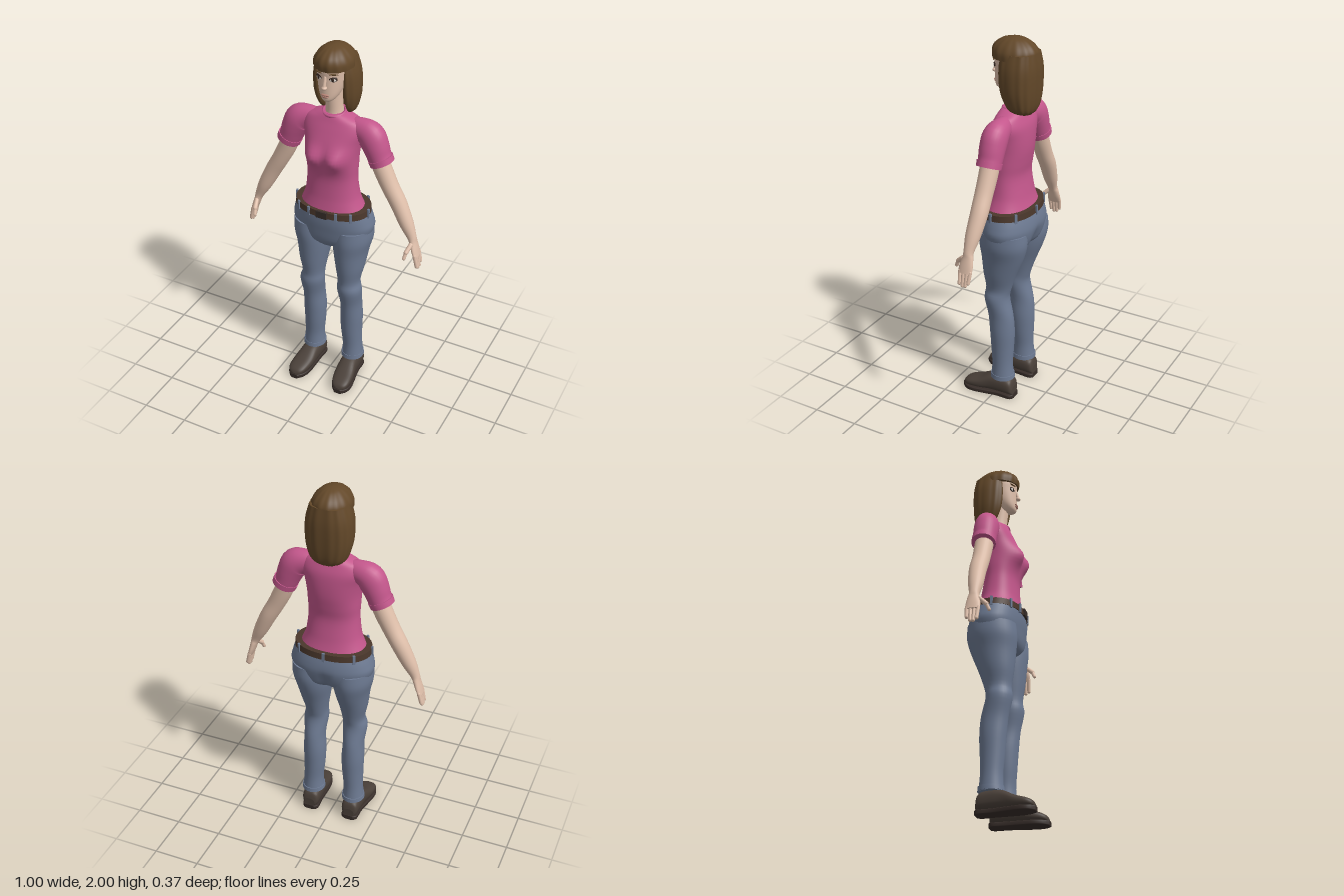
import * as THREE from 'three';

const mat = (name, color) => Object.assign(new THREE.MeshStandardMaterial({ color }), { name });
const M = {
  skin: mat('skin', 0xe0c0ab), shirt: mat('pink shirt', 0xc4578c), jeans: mat('blue denim', 0x6d7a92),
  hair: mat('brown hair', 0x634829), shoe: mat('dark shoe', 0x4a4039), sole: mat('sole', 0x372d29),
  belt: mat('belt leather', 0x4b382c), white: mat('eye white', 0xe6ded6), dark: mat('iris', 0x33241d),
  lips: mat('lips', 0xb98577),
};

// Point on a rounded cross-section: half width, front z, back z, angle, squareness
function ringPoint(half, zf, zb, a, p) {
  const f = (t) => Math.sign(t) * Math.abs(t) ** (2 / p);
  return [half * f(Math.cos(a)), (zf + zb) / 2 + ((zf - zb) / 2) * f(Math.sin(a))];
}

// Smoothly interpolates the stations [x, y, half width, front z, back z]
function smooth(st, sub) {
  const out = [], at = (i) => st[Math.min(Math.max(i, 0), st.length - 1)];
  for (let i = 0; i < st.length - 1; i++)
    for (let k = 0; k < sub; k++) {
      const t = k / sub;
      out.push(st[i].map((b, c) => {
        const a = at(i - 1)[c], d = at(i + 1)[c], e = at(i + 2)[c];
        return b + 0.5 * t * (d - a + t * (2 * a - 5 * b + 4 * d - e + t * (3 * (b - d) + e - a)));
      }));
    }
  out.push(st[st.length - 1]);
  return out;
}

// Skin over stations listed upwards; tilt turns the rings square to the path
function loft(st, { n = 32, p = 2, tilt = false, sub = 4, warp } = {}) {
  const s = smooth(st, sub), pos = [], idx = [];
  s.forEach(([cx, cy, half, zf, zb], i) => {
    const a = s[Math.max(i - 1, 0)], b = s[Math.min(i + 1, s.length - 1)];
    const tx = tilt ? b[0] - a[0] : 0, ty = tilt ? b[1] - a[1] : 1, l = Math.hypot(tx, ty);
    for (let j = 0; j < n; j++) {
      const ang = (j / n) * Math.PI * 2, [u, z] = ringPoint(half, zf, zb, ang, p);
      const v = new THREE.Vector3(cx + (u * ty) / l, cy - (u * tx) / l, z);
      if (warp) warp(v, ang);
      pos.push(v.x, v.y, v.z);
    }
  });
  for (let i = 0; i < s.length - 1; i++)
    for (let j = 0; j < n; j++) {
      const a = i * n + j, b = i * n + ((j + 1) % n);
      idx.push(a, a + n, b, b, a + n, b + n);
    }
  // end caps with their own vertices keep the rims crisp
  [0, s.length - 1].forEach((row, top) => {
    const base = pos.length / 3, c = [0, 0, 0];
    for (let j = 0; j < n; j++)
      for (let k = 0; k < 3; k++) {
        const v = pos[(row * n + j) * 3 + k];
        pos.push(v);
        c[k] += v / n;
      }
    pos.push(...c);
    for (let j = 0; j < n; j++) {
      const a = base + j, b = base + ((j + 1) % n);
      idx.push(base + n, ...(top ? [b, a] : [a, b]));
    }
  });
  const g = new THREE.BufferGeometry();
  g.setAttribute('position', new THREE.Float32BufferAttribute(pos, 3));
  g.setIndex(idx);
  g.computeVertexNormals();
  return g;
}

function blob(x, y, z, sx, sy, sz, turn = 0) {
  return new THREE.SphereGeometry(1, 16, 12).scale(sx, sy, sz).rotateY(turn).translate(x, y, z);
}

function finger(a, b, r) {
  const A = new THREE.Vector3(...a), B = new THREE.Vector3(...b), d = B.clone().sub(A);
  const q = new THREE.Quaternion().setFromUnitVectors(new THREE.Vector3(0, 1, 0), d.clone().normalize());
  return new THREE.CapsuleGeometry(r, d.length(), 4, 10).applyQuaternion(q).translate(...A.add(B).multiplyScalar(0.5).toArray());
}

function mirrored(g) {
  const m = g.clone().scale(-1, 1, 1), ix = m.index.array;
  for (let i = 0; i < ix.length; i += 3) [ix[i], ix[i + 1]] = [ix[i + 1], ix[i]];
  m.computeVertexNormals();
  return m;
}

export function createModel() {
  const model = new THREE.Group();
  model.name = 'standingWoman';
  const add = (name, g, m) => {
    const mesh = new THREE.Mesh(g, m);
    mesh.name = name;
    model.add(mesh);
  };
  const pair = (name, g, m) => { add(name + 'Left', g, m); add(name + 'Right', mirrored(g), m); };

  // Shirt, with the bust raised on the front
  add('shirt', loft([
    [0, 1.1, .18, .085, -.155], [0, 1.15, .158, .075, -.14], [0, 1.2, .144, .068, -.13], [0, 1.29, .135, .063, -.118],
    [0, 1.36, .137, .073, -.128], [0, 1.43, .14, .082, -.138], [0, 1.5, .15, .068, -.14], [0, 1.56, .165, .045, -.135],
    [0, 1.605, .15, .025, -.12], [0, 1.63, .1, .015, -.11], [0, 1.645, .058, .008, -.1],
  ], {
    n: 56, p: 2.2, warp: (v, a) => {
      const side = (Math.abs(v.x) - .065) / .052, up = (v.y - 1.425) / .055;
      if (Math.sin(a) > 0) v.z += .036 * Math.exp(-side * side - up * up) * Math.min(1, Math.sin(a) * 2);
    },
  }), M.shirt);
  add('collar', new THREE.TorusGeometry(.056, .008, 8, 32).rotateX(Math.PI / 2 + .12).translate(0, 1.642, -.045), M.shirt);
  pair('sleeve', loft([
    [.262, 1.415, .06, .01, -.11], [.245, 1.45, .062, .012, -.112], [.225, 1.5, .069, .015, -.115],
    [.195, 1.55, .074, .013, -.115], [.14, 1.57, .06, 0, -.105], [.08, 1.57, .05, -.01, -.09],
  ], { tilt: true }), M.shirt);
  pair('sleeveCuff', loft([[.264, 1.41, .064, .014, -.114], [.252, 1.438, .065, .015, -.115]], { tilt: true, sub: 1 }), M.shirt);

  // Arms and hands
  pair('arm', loft([
    [.48, .925, .012, .001, -.075], [.468, .96, .016, 0, -.075], [.455, 1, .019, -.01, -.07], [.444, 1.03, .025, -.013, -.066],
    [.41, 1.1, .037, -.005, -.082], [.36, 1.2, .043, -.005, -.095], [.315, 1.28, .045, -.003, -.095],
    [.275, 1.36, .048, -.002, -.098], [.24, 1.44, .048, 0, -.1],
  ], { tilt: true, n: 24 }), M.skin);
  [.87, .86, .862, .88].forEach((tip, i) => {
    const z = -.008 - i * .0195;
    pair('finger' + (i + 1), finger([.477, .935, z], [.491, tip, z * .85 - .005], .0095), M.skin);
  });
  pair('thumb', finger([.453, .995, -.012], [.443, .965, .022], .012), M.skin);
  pair('thumbTip', finger([.443, .965, .022], [.438, .935, .035], .0095), M.skin);

  // Jeans
  add('jeansHips', loft([
    [0, .865, .05, .02, -.08], [0, .89, .1, .055, -.13], [0, .93, .19, .08, -.168], [0, 1, .223, .09, -.186],
    [0, 1.05, .217, .095, -.184], [0, 1.1, .202, .095, -.172],
  ], {
    n: 48, p: 2.2, warp: (v, a) => {
      if (Math.sin(a) < 0) v.z += .025 * Math.exp(-((v.x / .03) ** 2) - ((v.y - .93) / .06) ** 2);
    },
  }), M.jeans);
  pair('jeansLeg', loft([
    [.119, .115, .06, .02, -.108], [.118, .2, .054, .014, -.1], [.113, .3, .058, .022, -.103], [.112, .4, .061, .03, -.107],
    [.113, .5, .057, .04, -.1], [.112, .6, .067, .06, -.076], [.106, .66, .06, .055, -.085], [.108, .75, .076, .068, -.115],
    [.107, .85, .092, .078, -.155], [.113, .93, .104, .085, -.176], [.113, 1, .104, .08, -.174],
  ]), M.jeans);
  pair('jeansCuff', loft([[.119, .118, .063, .023, -.112], [.119, .142, .061, .02, -.11]], { sub: 1 }), M.jeans);

  // Belt, buckle and belt loops
  add('belt', loft([[0, 1.088, .206, .1, -.176], [0, 1.122, .203, .098, -.174]], { n: 48, p: 2.2, sub: 1 }), M.belt);
  add('buckle', new THREE.BoxGeometry(.06, .038, .012).translate(0, 1.105, .1), M.sole);
  [70, 110, 46, 134, 5, 175, 225, 270, 315].forEach((deg, i) => {
    const a = (deg * Math.PI) / 180, [x, z] = ringPoint(.207, .101, -.177, a, 2.2);
    const turn = Math.atan2(Math.cos(a) / .206, Math.sin(a) / .138);
    add('beltLoop' + (i + 1), new THREE.BoxGeometry(.013, .05, .01).rotateY(turn).translate(x, 1.104, z), M.jeans);
  });

  // Shoes run along z: stations are built upright, then laid forward
  pair('shoe', loft([
    [.118, -.115, .03, -.02, -.07], [.118, -.1, .046, -.02, -.11], [.119, -.04, .05, -.02, -.125], [.122, .02, .051, -.02, -.118],
    [.128, .08, .056, -.02, -.088], [.135, .14, .05, -.02, -.068], [.137, .17, .034, -.02, -.052], [.137, .181, .01, -.02, -.034],
  ], { p: 2.5 }).rotateX(Math.PI / 2), M.shoe);
  pair('shoeSole', loft([
    [.118, -.12, .028, 0, -.026], [.118, -.1, .046, 0, -.026], [.12, -.03, .045, 0, -.026], [.127, .05, .053, 0, -.026],
    [.133, .11, .057, 0, -.026], [.137, .155, .046, 0, -.026], [.137, .184, .02, 0, -.026],
  ], { p: 6 }).rotateX(Math.PI / 2), M.sole);

  // Neck and head
  add('neck', loft([[0, 1.6, .055, .005, -.1], [0, 1.65, .045, 0, -.095], [0, 1.72, .042, .005, -.09], [0, 1.79, .045, .01, -.09]]), M.skin);
  add('head', loft([
    [0, 1.732, .018, .046, .005], [0, 1.745, .036, .054, -.03], [0, 1.77, .052, .056, -.06], [0, 1.81, .066, .056, -.1],
    [0, 1.86, .075, .055, -.12], [0, 1.91, .077, .056, -.13], [0, 1.96, .055, .03, -.11],
  ], { p: 2.1 }), M.skin);
  add('noseBridge', finger([0, 1.865, .052], [0, 1.82, .065], .008), M.skin);
  add('noseTip', blob(0, 1.813, .064, .014, .01, .014), M.skin);
  add('upperLip', blob(0, 1.772, .056, .023, .006, .007), M.lips);
  add('lowerLip', blob(0, 1.763, .055, .018, .007, .008), M.lips);

  // Eyes and brows
  pair('eyeLid', blob(.038, 1.858, .0425, .021, .014, .006, .4), M.dark);
  pair('eyeWhite', blob(.038, 1.856, .0435, .018, .0105, .0065, .4), M.white);
  pair('iris', blob(.037, 1.857, .045, .0105, .0105, .0065, .4), M.dark);
  pair('eyebrow', blob(.04, 1.885, .046, .024, .004, .005, .42), M.hair);

  // Hair: fringed crown and long back curtain, hollowed around the face
  const strands = (v, a) => {
    const k = 1 + .014 * Math.cos(14 * a);
    v.x *= k;
    v.z = (v.z + .055) * k - .055;
  };
  add('hairCrown', loft([
    [0, 1.897, .101, .066, -.168], [0, 1.93, .098, .069, -.17], [0, 1.96, .081, .056, -.152],
    [0, 1.985, .054, .022, -.118], [0, 1.996, .03, -.015, -.085], [0, 2, .004, -.045, -.054],
  ], { n: 84, warp: strands }), M.hair);
  add('hairCurtain', loft([
    [0, 1.62, .05, -.06, -.145], [0, 1.64, .085, -.035, -.16], [0, 1.68, .104, -.008, -.171], [0, 1.75, .117, .012, -.178],
    [0, 1.85, .115, .02, -.18], [0, 1.93, .095, .015, -.17],
  ], {
    n: 84, p: 2.5, warp: (v, a) => {
      strands(v, a);
      if (Math.sin(a) > 0) v.z -= .085 * Math.exp(-((v.x / .06) ** 4)) * Math.sin(a);
    },
  }), M.hair);
  return model;
}
